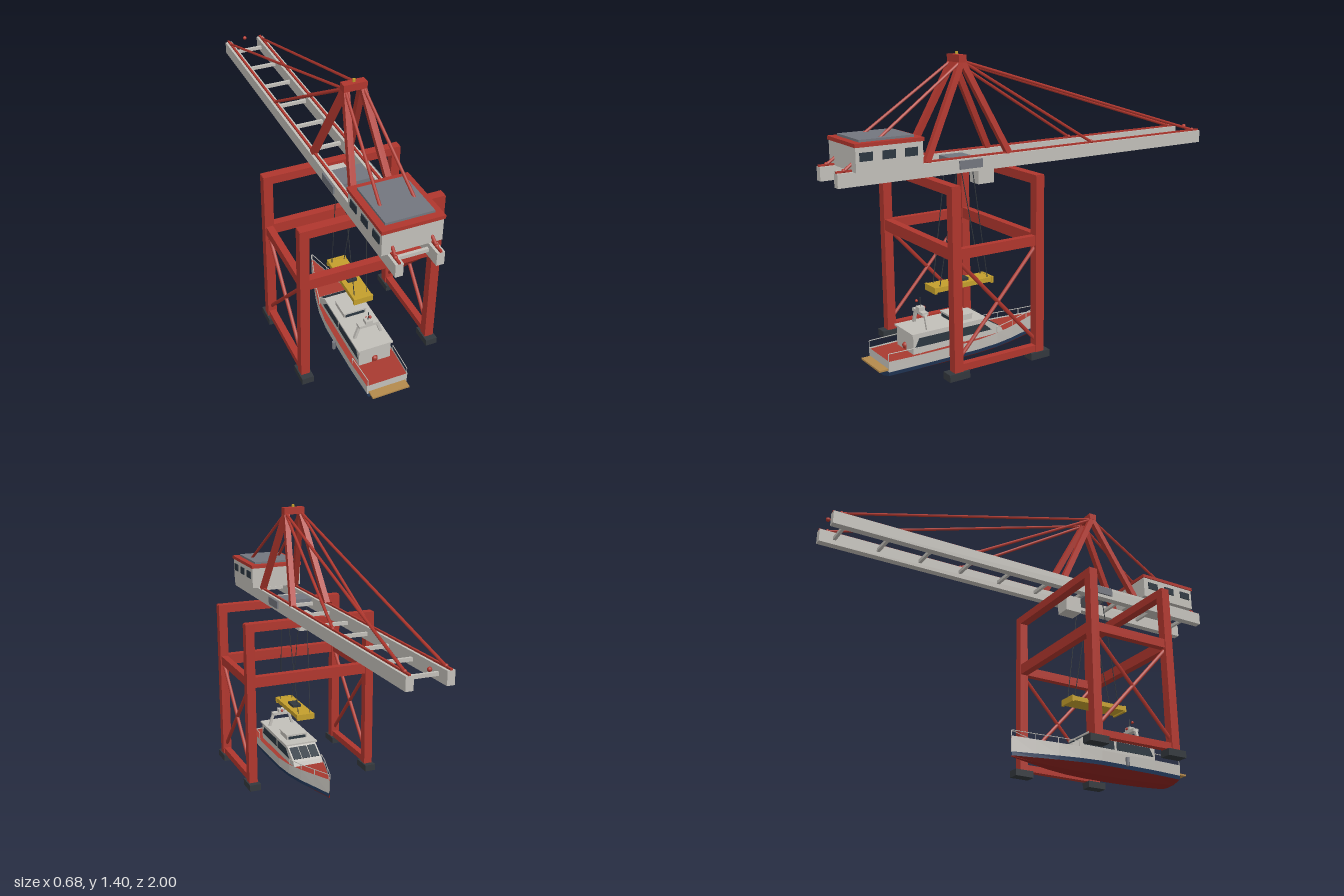
import * as THREE from 'three';

const mat = (name, color, extra = {}) => {
  const m = new THREE.MeshStandardMaterial({ color, ...extra });
  m.name = name;
  return m;
};

export function createModel() {
  const open = { side: THREE.DoubleSide };
  const red = mat('crane red', 0xb0362d), grey = mat('light grey', 0xc2bfb9, open);
  const slate = mat('slate grey', 0x73767e), dark = mat('charcoal', 0x33383d);
  const glass = mat('dark glass', 0x2b3640), yellow = mat('yellow', 0xc49f2c);
  const navy = mat('navy', 0x22385a, open), tan = mat('tan wood', 0xb48a4c);
  const hullRed = mat('hull red', 0x8f2420, open), deckRed = mat('deck red', 0xa83a30, open);
  const model = new THREE.Group();
  model.name = 'gantryCraneAndShip';
  const group = (name) => {
    const g = new THREE.Group();
    g.name = name;
    model.add(g);
    return g;
  };
  const add = (g, name, geo, m) => {
    const mesh = new THREE.Mesh(geo, m);
    mesh.name = name;
    g.add(mesh);
    return mesh;
  };
  const box = (g, name, m, w, h, d, x, y, z) => {
    const mesh = add(g, name, new THREE.BoxGeometry(w, h, d), m);
    mesh.position.set(x, y, z);
    return mesh;
  };
  // Bar between two points; sides = 4 gives a square section
  const bar = (g, name, m, a, b, r, sides = 6) => {
    const p = new THREE.Vector3(...a), q = new THREE.Vector3(...b);
    const geo = new THREE.CylinderGeometry(r, r, p.distanceTo(q), sides);
    if (sides === 4) geo.rotateY(Math.PI / 4);
    const mesh = add(g, name, sides === 4 ? geo.toNonIndexed() : geo, m);
    if (sides === 4) mesh.geometry.computeVertexNormals();
    mesh.position.copy(p).add(q).multiplyScalar(0.5);
    mesh.quaternion.setFromUnitVectors(new THREE.Vector3(0, 1, 0), q.sub(p).normalize());
    return mesh;
  };
  const ball = (g, name, m, r, x, y, z) => add(g, name, new THREE.SphereGeometry(r, 12, 8), m).position.set(x, y, z);
  const sides = [-1, 1], zc = 0.38, legX = 0.312, legZ = [0.172, 0.589];

  // Portal frame
  const portal = group('portalFrame');
  for (const z of legZ) {
    box(portal, 'topBeam', red, 0.665, 0.04, 0.042, 0, 0.865, z);
    box(portal, 'middleBeam', red, 0.6, 0.052, 0.036, 0, 0.595, z);
    for (const s of sides) {
      box(portal, 'leg', red, 0.043, 0.815, 0.042, s * legX, 0.4725, z);
      box(portal, 'foot', dark, 0.056, 0.032, 0.098, s * legX, 0.065, z);
    }
  }
  for (const s of sides) {
    const x = s * legX;
    box(portal, 'sideBeam', red, 0.032, 0.044, 0.4, x, 0.595, zc);
    box(portal, 'sillBeam', red, 0.032, 0.032, 0.4, x, 0.096, zc);
    bar(portal, 'crossBrace', red, [x, 0.13, 0.18], [x, 0.57, 0.58], 0.009);
    bar(portal, 'crossBrace', red, [x, 0.57, 0.18], [x, 0.13, 0.58], 0.009);
  }

  // Boom girders
  const boom = group('boom');
  for (const s of sides) {
    box(boom, 'girder', grey, 0.034, 0.06, 2, s * 0.088, 0.915, 0);
    box(boom, 'rail', red, 0.01, 0.008, 2, s * 0.088, 0.949, 0);
  }
  for (let i = 0; i < 10; i++) box(boom, 'crossTie', grey, 0.15, 0.016, 0.014, 0, 0.915, -0.93 + i * 0.2067);
  ball(boom, 'tipLamp', red, 0.01, 0, 0.957, -0.989);

  // Tower and stays
  const tower = group('tower');
  box(tower, 'apexBeam', red, 0.105, 0.032, 0.038, 0, 1.37, zc);
  add(tower, 'apexLamp', new THREE.CylinderGeometry(0.007, 0.007, 0.014, 10), yellow).position.set(0, 1.392, zc);
  for (const s of sides) {
    for (const z of legZ) bar(tower, 'towerLeg', red, [s * 0.088, 0.945, z], [s * 0.037, 1.36, zc], 0.019, 4);
    for (const z of [-0.3, -0.96, 0.965]) {
      bar(tower, 'stay', red, [s * 0.088, 0.95, z], [s * 0.04, 1.36, zc], 0.007);
      ball(tower, 'stayAnchor', red, 0.009, s * 0.088, 0.952, z);
    }
  }

  // Machinery house
  const house = group('machineryHouse');
  box(house, 'walls', grey, 0.262, 0.105, 0.305, 0, 0.9975, 0.778);
  box(house, 'roofTrim', red, 0.272, 0.016, 0.315, 0, 1.056, 0.778);
  box(house, 'roofPanel', slate, 0.212, 0.01, 0.25, 0, 1.069, 0.778);
  for (const s of sides) for (const z of [0.885, 0.783, 0.681])
    box(house, 'window', glass, 0.006, 0.036, 0.058, s * 0.132, 1.008, z);

  // Trolley, cab, ropes and spreader
  const hoist = group('hoist');
  box(hoist, 'trolley', slate, 0.226, 0.038, 0.116, 0, 0.92, zc);
  box(hoist, 'operatorCab', grey, 0.074, 0.08, 0.084, 0, 0.847, 0.258);
  for (const s of sides) for (const t of sides) {
    bar(hoist, 'rope', dark, [s * 0.053, 0.905, zc + t * 0.037], [s * 0.031, 0.362, zc + t * 0.125], 0.002);
    box(hoist, 'spreaderEnd', yellow, 0.094, 0.03, 0.012, 0, 0.352, 0.385 + t * 0.148);
  }
  box(hoist, 'spreader', yellow, 0.09, 0.022, 0.3, 0, 0.354, 0.385);
  box(hoist, 'headBlock', dark, 0.045, 0.014, 0.07, 0, 0.371, 0.385);

  // Hull stations: z, half beam, keel height, chine height, sheer height
  const stations = [
    [0.8, 0.1, 0.014, 0.032, 0.1], [0.65, 0.107, 0.004, 0.034, 0.1], [0.5, 0.107, 0, 0.035, 0.1],
    [0.35, 0.105, 0, 0.036, 0.102], [0.24, 0.092, 0.003, 0.036, 0.107], [0.14, 0.068, 0.01, 0.037, 0.114],
    [0.04, 0.036, 0.021, 0.039, 0.122], [-0.065, 0.003, 0.035, 0.041, 0.132]];
  const outline = ([z, b, k, c, t]) => [
    [0, k, z], [b * 0.42, k + (c - k) * 0.18, z], [b * 0.93, c, z], [b * 0.97, c + 0.018, z], [b, t, z]];
  // Skin lofted through matching rows of points
  const loft = (rows) => {
    const n = rows[0].length, index = [];
    for (let i = 0; i < rows.length - 1; i++) for (let j = 0; j < n - 1; j++) {
      const a = i * n + j, b = a + n;
      index.push(a, a + 1, b, a + 1, b + 1, b);
    }
    const geo = new THREE.BufferGeometry();
    geo.setAttribute('position', new THREE.Float32BufferAttribute(rows.flat(2), 3));
    geo.setIndex(index);
    const flat = geo.toNonIndexed();
    flat.computeVertexNormals();
    return flat;
  };
  const mirror = (p, s) => [p[0] * s, p[1], p[2]];
  const ship = group('ship');
  const bands = [['hullBottom', hullRed, 0, 3], ['hullStripe', navy, 2, 4], ['hullTopside', grey, 3, 5]];
  for (const s of sides) for (const [name, m, from, to] of bands) {
    const rows = stations.map((st) => outline(st).slice(from, to).map((p) => mirror(p, s)));
    add(ship, name, loft(s > 0 ? rows : rows.map((r) => r.reverse())), m);
  }
  // Stern plate, one strip per band
  const stern = outline(stations[0]);
  for (const [name, m, from, to] of bands)
    add(ship, name + 'Stern', loft(stern.slice(from, to).map((p) => [mirror(p, -1), p])), from ? m : navy);
  add(ship, 'deck', loft(stations.map(([z, b, , , t]) => [[b * 0.98, t - 0.006, z], [-b * 0.98, t - 0.006, z]])), deckRed);
  box(ship, 'swimPlatform', tan, 0.18, 0.008, 0.045, 0, 0.06, 0.82);

  // Cabins extruded across the ship from side profiles in (z, y)
  const cabin = (name, m, pts, width) => {
    const shape = new THREE.Shape(pts.map(([z, y]) => new THREE.Vector2(-z, y)));
    const geo = new THREE.ExtrudeGeometry(shape, { depth: width, bevelEnabled: false });
    geo.translate(0, 0, -width / 2).rotateY(Math.PI / 2);
    return add(ship, name, geo, m);
  };
  cabin('mainCabin', grey, [[0.67, 0.094], [0.2, 0.1], [0.21, 0.125], [0.3, 0.182], [0.67, 0.182]], 0.156);
  box(ship, 'cabinRoof', grey, 0.172, 0.008, 0.385, 0, 0.186, 0.485);
  cabin('sideWindowsAft', glass, [[0.66, 0.125], [0.45, 0.125], [0.45, 0.165], [0.64, 0.165]], 0.16);
  cabin('sideWindowsForward', glass, [[0.435, 0.125], [0.265, 0.125], [0.31, 0.165], [0.435, 0.165]], 0.16);
  for (const x of [-0.048, 0, 0.048]) {
    const pane = box(ship, 'windscreen', glass, 0.043, 0.005, 0.075, x, 0.1535, 0.255);
    pane.rotation.x = Math.atan2(0.057, 0.09) * -1;
  }
  box(ship, 'upperBridge', grey, 0.11, 0.022, 0.1, 0, 0.2, 0.405);
  box(ship, 'upperBridgeRoof', grey, 0.116, 0.006, 0.104, 0, 0.214, 0.405);
  box(ship, 'upperBridgeWindow', glass, 0.095, 0.014, 0.104, 0, 0.2, 0.405);
  box(ship, 'cabinDoor', deckRed, 0.026, 0.02, 0.006, 0, 0.108, 0.672);
  ball(ship, 'doorHood', deckRed, 0.014, 0, 0.116, 0.67);

  // Radar arch and mast
  for (const s of sides) bar(ship, 'archLeg', grey, [s * 0.065, 0.188, 0.59], [s * 0.043, 0.255, 0.59], 0.009, 4);
  box(ship, 'archTop', grey, 0.098, 0.014, 0.03, 0, 0.256, 0.59);
  box(ship, 'radar', grey, 0.034, 0.018, 0.03, 0, 0.271, 0.59);
  bar(ship, 'antenna', dark, [0, 0.275, 0.59], [0, 0.322, 0.59], 0.002);
  ball(ship, 'mastLamp', red, 0.007, 0, 0.31, 0.608);
  ball(ship, 'mastLamp', red, 0.007, 0, 0.272, 0.572);

  // Railings, aft and forward
  const rail = (from, to, height) => {
    for (const s of sides) {
      const pts = stations.slice(from, to).map(([z, b, , , t]) => [s * b * 0.95, t, z]);
      pts.forEach((p, i) => {
        const top = [p[0], p[1] + height, p[2]];
        bar(ship, 'railPost', grey, p, top, 0.0018);
        if (i) bar(ship, 'handrail', grey, [pts[i - 1][0], pts[i - 1][1] + height, pts[i - 1][2]], top, 0.002);
      });
    }
  };
  rail(0, 2, 0.033);
  rail(4, 8, 0.026);
  bar(ship, 'fender', slate, [-0.117, 0.046, 0.48], [-0.117, 0.085, 0.48], 0.009, 10);
  return model;
}
